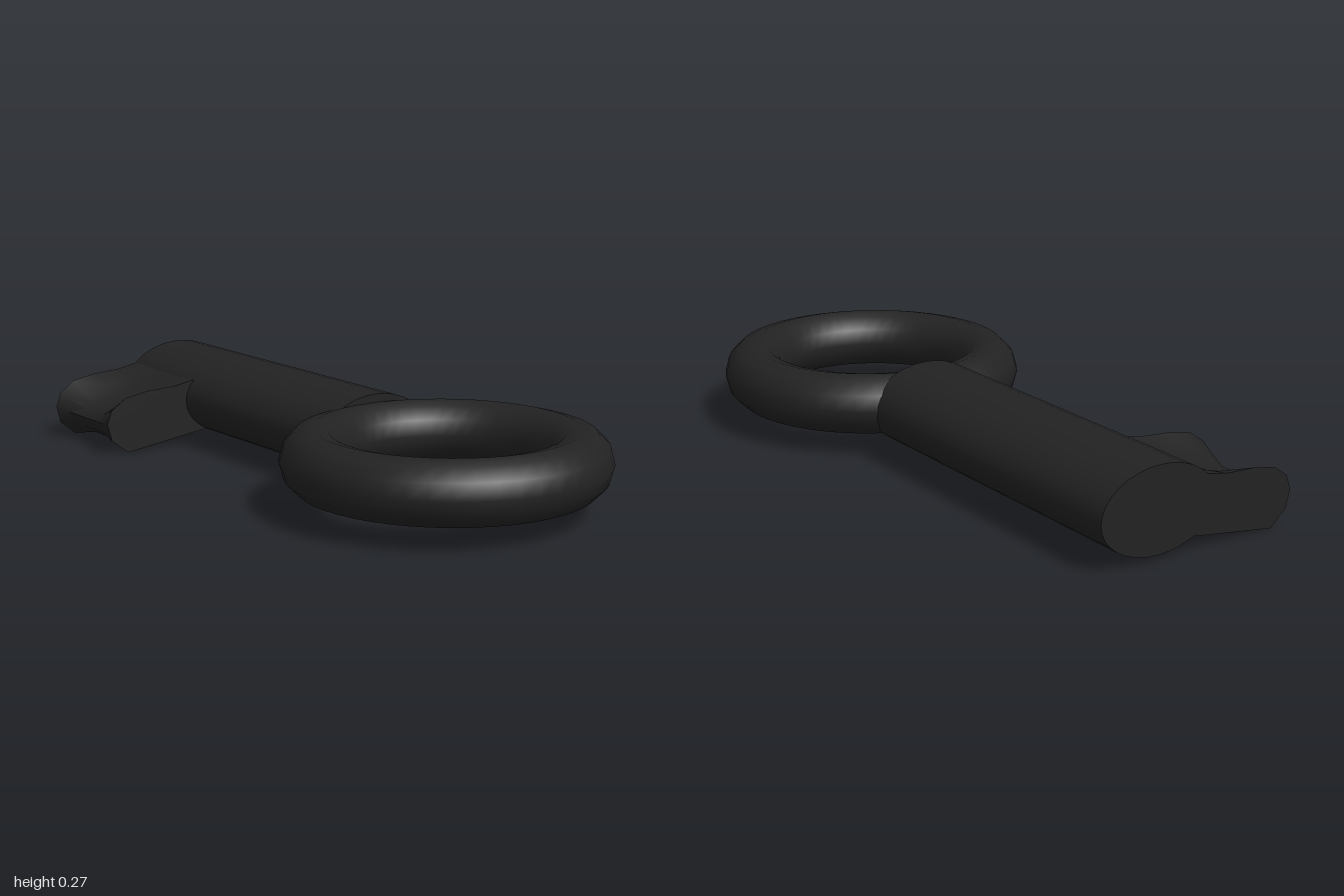
import * as THREE from 'three';
import { toCreasedNormals } from 'three/addons/utils/BufferGeometryUtils.js';

// Closed [z, y] outlines of the bit: full thickness at its sides, thinner in the groove
const SIDE = [[-0.02, 0.25], [0.06, 0.24], [0.12, 0.215], [0.2, 0.2], [0.3, 0.195], [0.38, 0.18],
  [0.43, 0.145], [0.447, 0.1], [0.432, 0.045], [0.375, 0], [0.24, 0.02], [0.11, 0.04], [-0.02, 0.06]];
const GROOVE = [[-0.02, 0.25], [0.06, 0.24], [0.12, 0.215], [0.2, 0.175], [0.28, 0.14], [0.36, 0.12],
  [0.4, 0.108], [0.417, 0.085], [0.405, 0.05], [0.36, 0.022], [0.24, 0.034], [0.11, 0.045], [-0.02, 0.06]];

// Lofts the outlines along x, tapering slightly towards the tip
function bitGeometry() {
  const stations = [[-1, 0], [-0.67, 0.55], [-0.33, 1], [0, 1], [0.33, 1], [0.67, 0.55], [1, 0]];
  const rings = stations.map(([u, w]) => SIDE.map(([z0, y0], i) => {
    const z = THREE.MathUtils.lerp(z0, GROOVE[i][0], w);
    const y = THREE.MathUtils.lerp(y0, GROOVE[i][1], w);
    const half = THREE.MathUtils.mapLinear(Math.max(z, 0.16), 0.16, 0.45, 0.187, 0.173);
    return [-0.812 + u * half, y, z];
  }));
  const n = SIDE.length;
  const pos = [];
  for (let j = 0; j < rings.length - 1; j++) {
    for (let i = 0; i < n; i++) {
      const k = (i + 1) % n;
      const a = rings[j][i], b = rings[j][k], c = rings[j + 1][k], d = rings[j + 1][i];
      pos.push(...a, ...b, ...d, ...b, ...c, ...d);
    }
  }
  // End caps
  const outline = SIDE.map(([z, y]) => new THREE.Vector2(-z, y));
  const last = rings[rings.length - 1];
  for (const [a, b, c] of THREE.ShapeUtils.triangulateShape(outline, [])) {
    pos.push(...last[a], ...last[b], ...last[c], ...rings[0][a], ...rings[0][c], ...rings[0][b]);
  }
  const geo = new THREE.BufferGeometry();
  geo.setAttribute('position', new THREE.Float32BufferAttribute(pos, 3));
  return toCreasedNormals(geo, 0.75);
}

export function createModel() {
  const key = new THREE.Group();
  key.name = 'key';
  const blackIron = new THREE.MeshStandardMaterial({ color: 0x222222 });
  blackIron.name = 'black iron';

  const add = (name, geometry) => {
    const mesh = new THREE.Mesh(geometry, blackIron);
    mesh.name = name;
    key.add(mesh);
    return mesh;
  };

  // Ring handle lying flat
  const bow = add('ringHandle', new THREE.TorusGeometry(0.382, 0.095, 12, 48).rotateX(Math.PI / 2));
  bow.position.set(0.52, 0.152, 0);

  // Shaft of oval section
  const shaft = add('shaft', new THREE.CylinderGeometry(1, 1, 1.14, 32).rotateZ(Math.PI / 2));
  shaft.scale.set(1, 0.128, 0.195);
  shaft.position.set(-0.43, 0.145, -0.036);

  // Grooved bit at the far end of the shaft
  add('bit', bitGeometry());

  return key;
}
